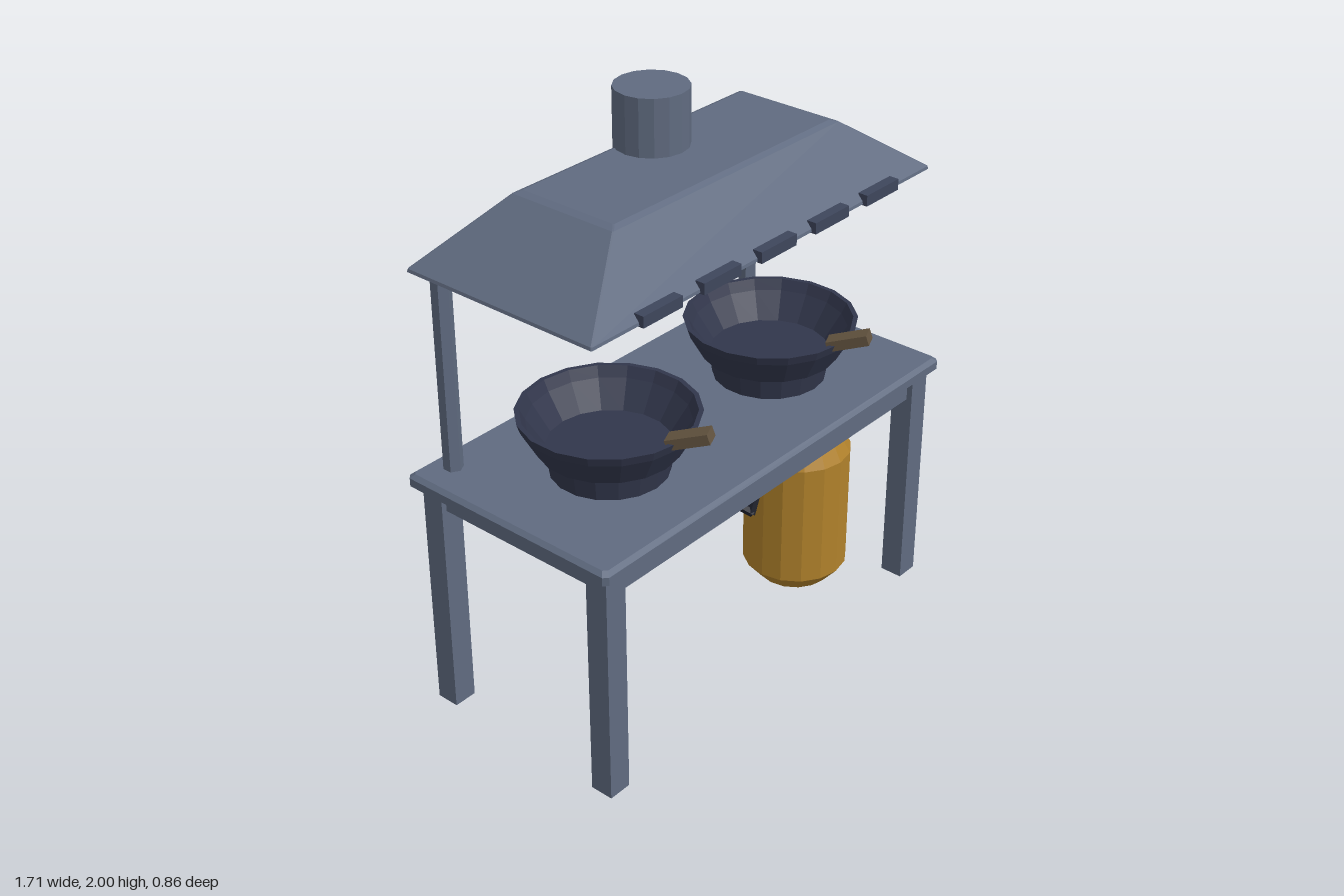
import * as THREE from 'three';

const paint = (name, color) => {
  const m = new THREE.MeshStandardMaterial({ color });
  m.name = name;
  return m;
};

// Faceted normals for the low-poly look
function flat(geometry) {
  const g = geometry.index ? geometry.toNonIndexed() : geometry;
  g.computeVertexNormals();
  return g;
}

// Solid from stacked rectangles with cut corners: [y, halfX, minZ, maxZ, cornerCut]
function stack(sections) {
  const pos = [], idx = [], n = 8;
  for (const [y, x, z0, z1, c] of sections) {
    const ring = [
      [-x + c, z1], [x - c, z1], [x, z1 - c], [x, z0 + c],
      [x - c, z0], [-x + c, z0], [-x, z0 + c], [-x, z1 - c],
    ];
    for (const [px, pz] of ring) pos.push(px, y, pz);
  }
  const top = (sections.length - 1) * n;
  for (let s = 0; s < top; s += n) {
    for (let i = 0; i < n; i++) {
      const j = (i + 1) % n;
      idx.push(s + i, s + j, s + n + j, s + i, s + n + j, s + n + i);
    }
  }
  for (let i = 1; i < n - 1; i++) {
    idx.push(0, i + 1, i, top, top + i, top + i + 1);
  }
  const g = new THREE.BufferGeometry();
  g.setAttribute('position', new THREE.Float32BufferAttribute(pos, 3));
  g.setIndex(idx);
  return g;
}

const lathe = (points, sides) =>
  new THREE.LatheGeometry(points.map(([r, y]) => new THREE.Vector2(r, y)), sides);

export function createModel() {
  const model = new THREE.Group();
  model.name = 'streetKitchen';

  const steel = paint('steel', 0x606b80);
  const castIron = paint('castIron', 0x31364b);
  const flapSteel = paint('darkSteel', 0x3e465c);
  const gasYellow = paint('gasYellow', 0xb0812b);
  const rubber = paint('rubber', 0x1f212c);
  const wood = paint('wood', 0x62533f);

  const add = (name, geometry, material, x = 0, y = 0, z = 0, parent = model) => {
    const mesh = new THREE.Mesh(flat(geometry), material);
    mesh.name = name;
    mesh.position.set(x, y, z);
    parent.add(mesh);
    return mesh;
  };
  const box = (name, w, h, d, material, x, y, z) =>
    add(name, new THREE.BoxGeometry(w, h, d), material, x, y, z);

  // Bar stretched between two points
  const bar = (name, a, b, makeGeometry, material, parent = model) => {
    const dir = b.clone().sub(a);
    const mesh = add(name, makeGeometry(dir.length()), material, 0, 0, 0, parent);
    mesh.position.copy(a).addScaledVector(dir, 0.5);
    return { mesh, dir: dir.normalize() };
  };

  // Table
  add('tableTop', stack([
    [0.83, 0.84, -0.415, 0.405, 0.012],
    [0.843, 0.855, -0.43, 0.42, 0.015],
    [0.872, 0.855, -0.43, 0.42, 0.015],
    [0.885, 0.84, -0.415, 0.405, 0.012],
  ]), steel);
  for (const sx of [-1, 1]) {
    for (const sz of [-1, 1]) {
      box('leg', 0.084, 0.835, 0.082, steel, sx * 0.782, 0.4175, sz * 0.35);
    }
    box('sideApron', 0.04, 0.065, 0.63, steel, sx * 0.785, 0.8025, 0);
    box('longApron', 1.49, 0.09, 0.04, steel, 0, 0.79, sx * 0.35);
    // Hexagonal hood posts
    add('hoodPost', new THREE.CylinderGeometry(0.033, 0.033, 0.74, 6), steel,
      sx * 0.733, 1.247, -0.343);
  }

  // Extractor hood
  add('hood', stack([
    [1.588, 0.815, -0.4, 0.35, 0.004],
    [1.598, 0.812, -0.398, 0.348, 0.004],
    [1.797, 0.535, -0.225, 0.18, 0.004],
    [1.806, 0.51, -0.205, 0.16, 0.004],
  ]), steel);
  add('chimney', new THREE.CylinderGeometry(0.123, 0.123, 0.22, 16), steel, 0, 1.89, -0.145);
  for (let i = -2; i <= 2; i++) {
    box('hoodFlap', 0.17, 0.038, 0.035, flapSteel, i * 0.266, 1.603, 0.348);
  }

  // Woks on burner rings, each with a tilted handle
  for (const x of [-0.41, 0.395]) {
    const wok = new THREE.Group();
    wok.name = 'wokStation';
    wok.position.set(x, 0, 0.03);
    model.add(wok);
    add('burnerRing', lathe([[0, 0.88], [0.194, 0.88], [0.208, 0.972], [0, 0.972]], 18),
      castIron, 0, 0, 0, wok);
    add('wok', lathe([
      [0, 0.955], [0.2, 0.955], [0.235, 0.973], [0.286, 1.065], [0.296, 1.096],
      [0.28, 1.096], [0.262, 1.06], [0.2, 0.968], [0, 0.965],
    ], 18), castIron, 0, 0, 0, wok);
    const { mesh, dir } = bar('wokHandle',
      new THREE.Vector3(-0.012, 1.087, 0.255), new THREE.Vector3(0.043, 1.132, 0.378),
      (len) => new THREE.BoxGeometry(0.058, 0.036, len), wood, wok);
    mesh.lookAt(mesh.position.clone().add(dir).add(wok.position));
  }

  // Gas bottle with valve knob
  add('gasBottle', lathe([
    [0, 0], [0.135, 0], [0.19, 0.065], [0.19, 0.53], [0.145, 0.615], [0.07, 0.65], [0, 0.65],
  ], 16), gasYellow, 0.54, 0, 0.055);
  add('valveKnob', lathe([
    [0, 0.64], [0.042, 0.64], [0.03, 0.662], [0.052, 0.7], [0, 0.692],
  ], 8), steel, 0.54, 0, 0.055);

  // Gas hose in straight runs
  const path = [
    [0.17, 0.83, -0.115], [0.17, 0.485, -0.115], [0.288, 0.367, 0.05],
    [0.38, 0.62, 0.055], [0.53, 0.685, 0.055],
  ].map((p) => new THREE.Vector3(...p));
  const up = new THREE.Vector3(0, 1, 0);
  for (let i = 0; i < path.length - 1; i++) {
    const { mesh, dir } = bar('gasHose', path[i], path[i + 1],
      (len) => new THREE.CylinderGeometry(0.018, 0.018, len + 0.014, 6), rubber);
    mesh.quaternion.setFromUnitVectors(up, dir);
  }

  return model;
}
